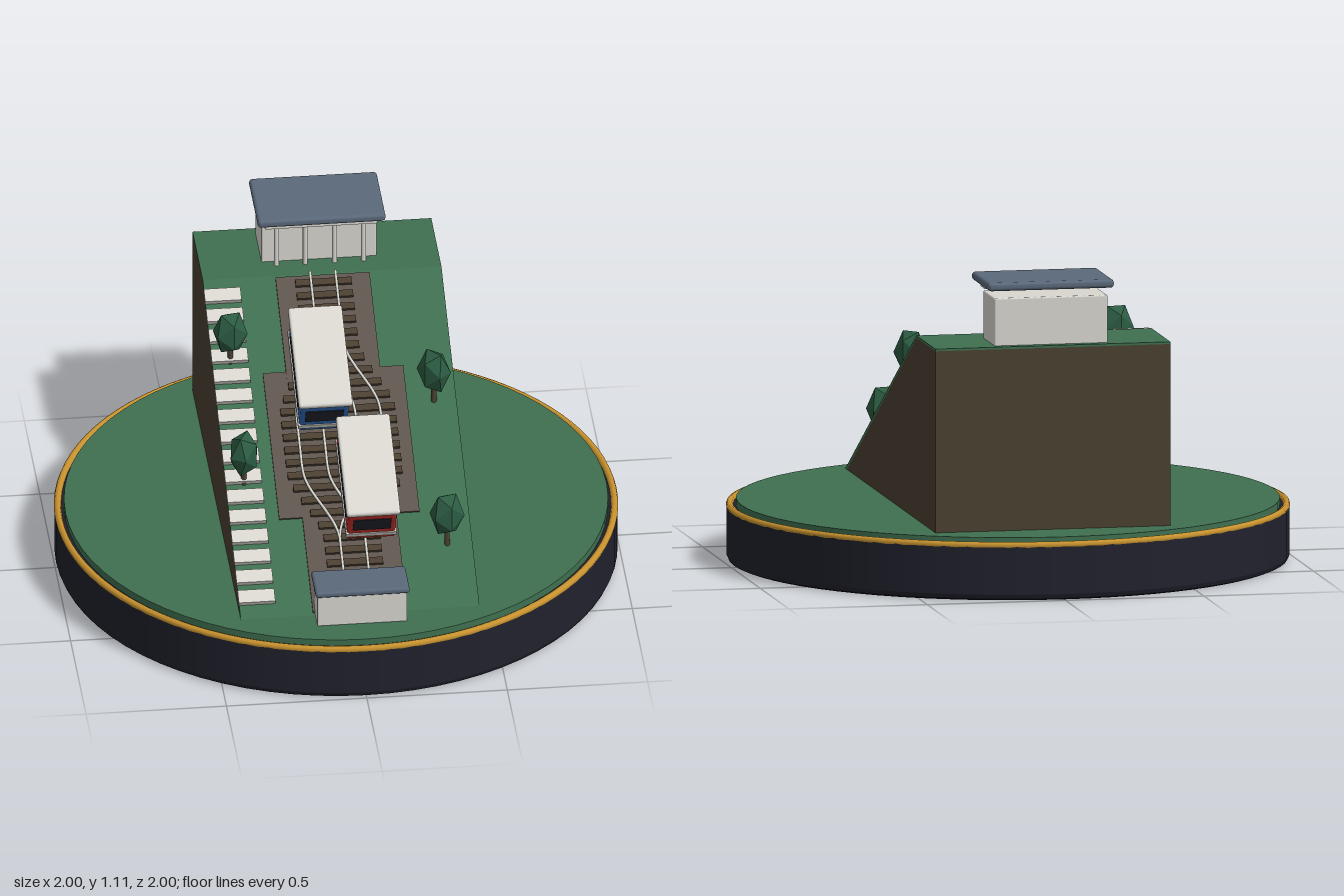
import * as THREE from 'three';
import { RoundedBoxGeometry } from 'three/addons/geometries/RoundedBoxGeometry.js';

const mat = (name, color, extra = {}) => Object.assign(new THREE.MeshStandardMaterial({ color, ...extra }), { name });
const M = {
  grass: mat('grass green', 0x3f7050),
  leaf: mat('leaf green', 0x2c5c42, { flatShading: true }),
  earth: mat('earth brown', 0x4c4031),
  dark: mat('dark navy', 0x20212c),
  gold: mat('gold', 0xc9932f),
  ballast: mat('ballast grey', 0x5f554e),
  white: mat('off white', 0xd9d7d0),
  blue: mat('blue', 0x2f66b0),
  red: mat('red', 0xc0302a),
  slate: mat('slate grey', 0x5b697b),
};

function add(parent, name, geo, material, x = 0, y = 0, z = 0) {
  const m = new THREE.Mesh(geo, material);
  m.name = name;
  m.position.set(x, y, z);
  parent.add(m);
  return m;
}
const box = (parent, name, w, h, d, material, x, y, z) =>
  add(parent, name, new THREE.BoxGeometry(w, h, d), material, x, y, z);
const rbox = (parent, name, w, h, d, r, material, x, y, z) =>
  add(parent, name, new RoundedBoxGeometry(w, h, d, 2, r), material, x, y, z);
function group(parent, name) {
  const g = new THREE.Group();
  g.name = name;
  parent.add(g);
  return g;
}

// Slope line of the hill, from its foot to its upper edge
const GROUND = 0.222, FOOT = 0.783, CREST = -0.45, TOP = 0.88, BACK = -0.78;
const RISE = (TOP - GROUND) / (FOOT - CREST);
const ANGLE = Math.atan(RISE);
const LENGTH = Math.hypot(TOP - GROUND, FOOT - CREST);
const slopeY = z => GROUND + (FOOT - z) * RISE;

// Sideways shift of each track in the passing loop
const loopOffset = s => 0.105 * (1 - THREE.MathUtils.smoothstep(Math.abs(s), 0.11, 0.41));

// Side outline (z, y) extruded across the width of the hill
function acrossHill(points) {
  const shape = new THREE.Shape(points.map(p => new THREE.Vector2(...p)));
  return new THREE.ExtrudeGeometry(shape, { depth: 0.85, bevelEnabled: false })
    .rotateY(-Math.PI / 2).translate(0.425, 0, 0);
}

function buildBase(root) {
  const g = group(root, 'base');
  const profile = [[0, 0], [0.975, 0], [0.99, 0.006], [0.997, 0.022], [0.997, 0.195], [0, 0.195]];
  const pts = profile.flatMap(([x, y], i) => i > 0 && i < 5 ? [[x, y], [x, y]] : [[x, y]])
    .map(p => new THREE.Vector2(...p));
  add(g, 'plinth', new THREE.LatheGeometry(pts, 72), M.dark);
  add(g, 'goldRim', new THREE.TorusGeometry(0.986, 0.013, 8, 96).rotateX(Math.PI / 2), M.gold, 0, 0.197, 0);
  add(g, 'lawn', new THREE.CylinderGeometry(0.963, 0.963, 0.028, 72), M.grass, 0, 0.208, 0);
}

function buildHill(root) {
  const g = group(root, 'hill');
  add(g, 'soil', acrossHill([[0.765, 0.215], [-0.453, 0.872], [BACK, 0.872], [BACK, 0.215]]), M.earth);
  add(g, 'turf', acrossHill([[FOOT, GROUND], [CREST, TOP], [BACK, TOP], [BACK, 0.872],
    [-0.453, 0.872], [0.765, 0.215]]), M.grass);
}

// Local z runs downhill and local y stands square to the slope
function buildTrack(slope) {
  const g = group(slope, 'track');
  box(g, 'ballastBed', 0.335, 0.016, LENGTH - 0.02, M.ballast, 0, 0, 0);
  box(g, 'loopBallast', 0.5, 0.014, 0.6, M.ballast, 0, 0, 0);

  const count = 26;
  for (let i = 0; i < count; i++) {
    const s = -0.655 + i * 1.31 / (count - 1);
    box(g, 'sleeper', 0.2 + 2 * loopOffset(s), 0.012, 0.026, M.earth, 0, 0.013, s);
  }
  for (const track of [-1, 1]) for (const rail of [-0.045, 0.045]) {
    const pts = [];
    for (let i = 0; i <= 28; i++) {
      const s = (i / 28 - 0.5) * (LENGTH - 0.01);
      pts.push(new THREE.Vector3(track * loopOffset(s) + rail, 0.024, s));
    }
    add(g, 'rail', new THREE.TubeGeometry(new THREE.CatmullRomCurve3(pts), 72, 0.0055, 6), M.white);
  }
}

function buildSteps(slope) {
  const g = group(slope, 'stairway');
  for (let i = 0; i < 16; i++)
    box(g, 'step', 0.13, 0.022, 0.052, M.white, -0.362, 0.008, -0.625 + i * 0.0827);
}

function buildCar(slope, name, paint, x, s) {
  const g = group(slope, name);
  g.position.set(x, 0, s);
  rbox(g, 'body', 0.172, 0.168, 0.385, 0.01, paint, 0, 0.12, 0);
  rbox(g, 'roof', 0.192, 0.026, 0.41, 0.01, M.white, 0, 0.216, 0);
  box(g, 'stripe', 0.18, 0.02, 0.392, M.white, 0, 0.068, 0);
  for (const side of [-1, 1]) {
    box(g, 'sideWindow', 0.006, 0.066, 0.285, M.dark, side * 0.086, 0.135, 0);
    box(g, 'endWindow', 0.135, 0.066, 0.006, M.dark, 0, 0.135, side * 0.1925);
    // Wheels
    for (const end of [-0.12, 0.12])
      add(g, 'wheel', new THREE.CylinderGeometry(0.018, 0.018, 0.014, 12).rotateZ(Math.PI / 2),
        M.dark, side * 0.045, 0.036, end);
  }
}

function buildStations(root) {
  const upper = group(root, 'upperStation');
  rbox(upper, 'hall', 0.41, 0.175, 0.2, 0.006, M.white, 0, 0.9625, -0.65);
  rbox(upper, 'roof', 0.455, 0.03, 0.3, 0.012, M.slate, 0, 1.09, -0.606);
  box(upper, 'beam', 0.4, 0.022, 0.075, M.white, 0, 1.066, -0.52);
  for (const x of [-0.155, -0.052, 0.052, 0.155])
    add(upper, 'column', new THREE.CylinderGeometry(0.009, 0.009, 0.19, 10), M.white, x, 0.97, -0.525);

  const lower = group(root, 'lowerStation');
  rbox(lower, 'hall', 0.32, 0.127, 0.115, 0.005, M.white, 0, 0.284, 0.8);
  rbox(lower, 'roof', 0.335, 0.024, 0.156, 0.01, M.slate, 0, 0.355, 0.793);
}

function buildTrees(root) {
  const spots = [[-0.36, -0.15, 0.2], [-0.36, 0.29, 1.1], [0.345, 0.03, 2.3], [0.335, 0.55, 3.4]];
  for (const [x, z, turn] of spots) {
    const tree = group(root, 'tree');
    tree.position.set(x, slopeY(z), z);
    tree.rotation.y = turn;
    add(tree, 'trunk', new THREE.CylinderGeometry(0.008, 0.011, 0.11, 8), M.earth, 0, 0.04, 0);
    add(tree, 'crown', new THREE.IcosahedronGeometry(0.065, 0).scale(1, 1.38, 0.85), M.leaf, 0, 0.122, 0);
  }
}

export function createModel() {
  const root = new THREE.Group();
  root.name = 'hillRailway';
  buildBase(root);
  buildHill(root);

  const slope = group(root, 'slope');
  slope.position.set(0, (GROUND + TOP) / 2, (FOOT + CREST) / 2);
  slope.rotation.x = ANGLE;
  buildTrack(slope);
  buildSteps(slope);
  buildCar(slope, 'blueCar', M.blue, -0.063, -0.23);
  buildCar(slope, 'redCar', M.red, 0.063, 0.225);

  buildStations(root);
  buildTrees(root);
  return root;
}
